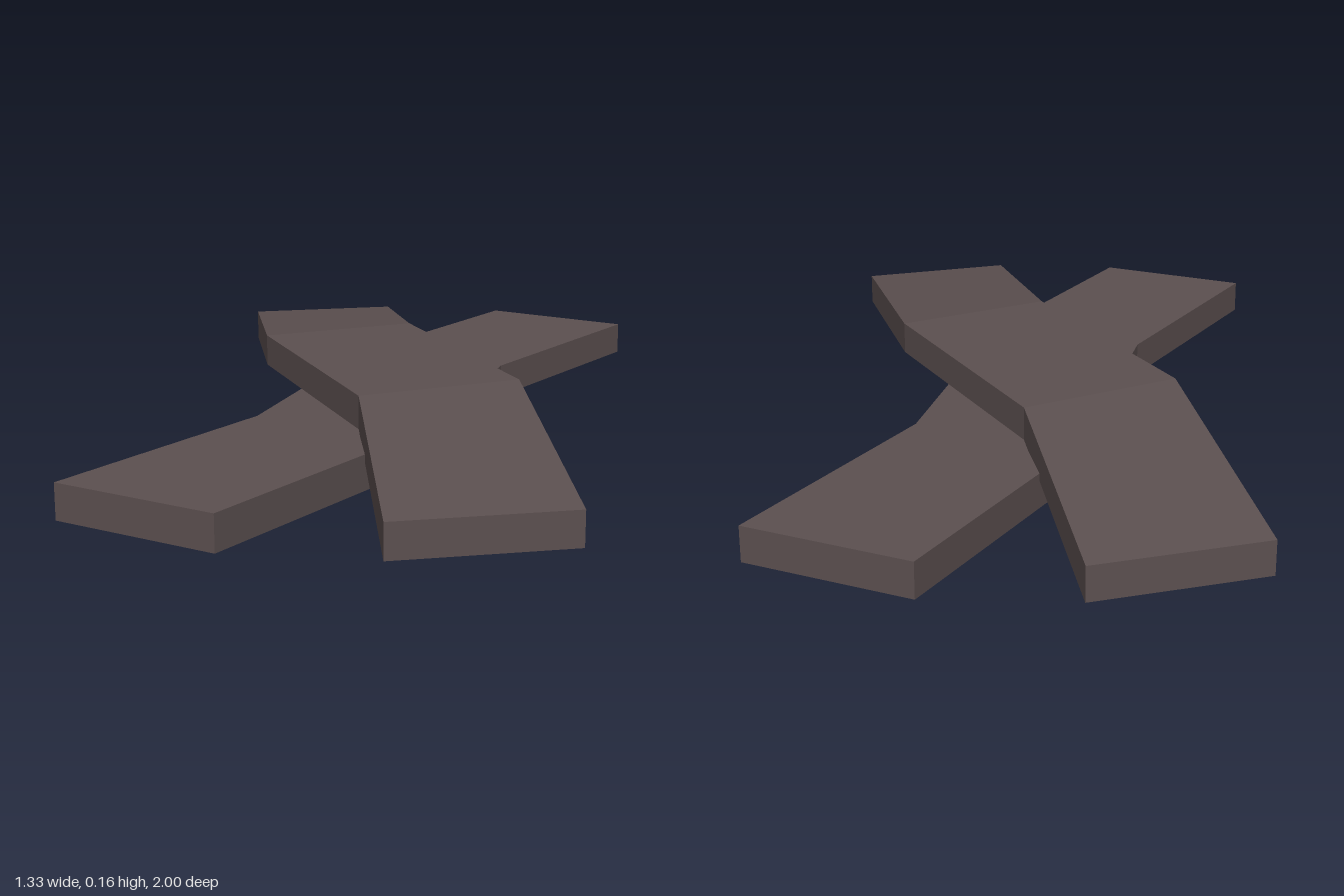
import * as THREE from 'three';

const wood = new THREE.MeshStandardMaterial({ color: 0x5c5050, flatShading: true });
wood.name = 'dark wood';

// Plank from cross-sections running back to front: [leftX, leftZ, rightX, rightZ, bottomY, topY]
function plank(name, sections) {
  const rings = sections.map(([ax, az, bx, bz, y0, y1]) => [
    [ax, y0, az], [bx, y0, bz], [bx, y1, bz], [ax, y1, az],
  ]);
  const pos = [];
  const quad = (a, b, c, d) => pos.push(...a, ...b, ...c, ...a, ...c, ...d);
  for (let i = 0; i < rings.length - 1; i++) {
    for (let k = 0; k < 4; k++) {
      const n = (k + 1) % 4;
      quad(rings[i][k], rings[i][n], rings[i + 1][n], rings[i + 1][k]);
    }
  }
  const first = rings[0], last = rings[rings.length - 1];
  quad(first[3], first[2], first[1], first[0]);
  quad(last[0], last[1], last[2], last[3]);
  const geo = new THREE.BufferGeometry();
  geo.setAttribute('position', new THREE.Float32BufferAttribute(pos, 3));
  geo.computeVertexNormals();
  const mesh = new THREE.Mesh(geo, wood);
  mesh.name = name;
  return mesh;
}

// Complete a plank by turning its back half 180 degrees about the y axis
function symmetric(half) {
  const turned = half.map(([ax, az, bx, bz, y0, y1]) => [-bx, -bz, -ax, -az, y0, y1]).reverse();
  return [...half, ...turned];
}

export function createModel() {
  const group = new THREE.Group();
  group.name = 'crossedPlanks';

  // Flat plank lying on the ground
  group.add(plank('lowerPlank', symmetric([
    [-0.013, -1.0, 0.37, -0.93, 0, 0.08],
    [-0.196, -0.36, 0.194, -0.33, 0, 0.08],
  ])));

  // Plank bent up over the lower one
  group.add(plank('upperPlank', symmetric([
    [-0.667, -0.745, -0.331, -0.943, 0.004, 0.081],
    [-0.363, -0.117, -0.071, -0.379, 0.086, 0.162],
  ])));

  return group;
}
